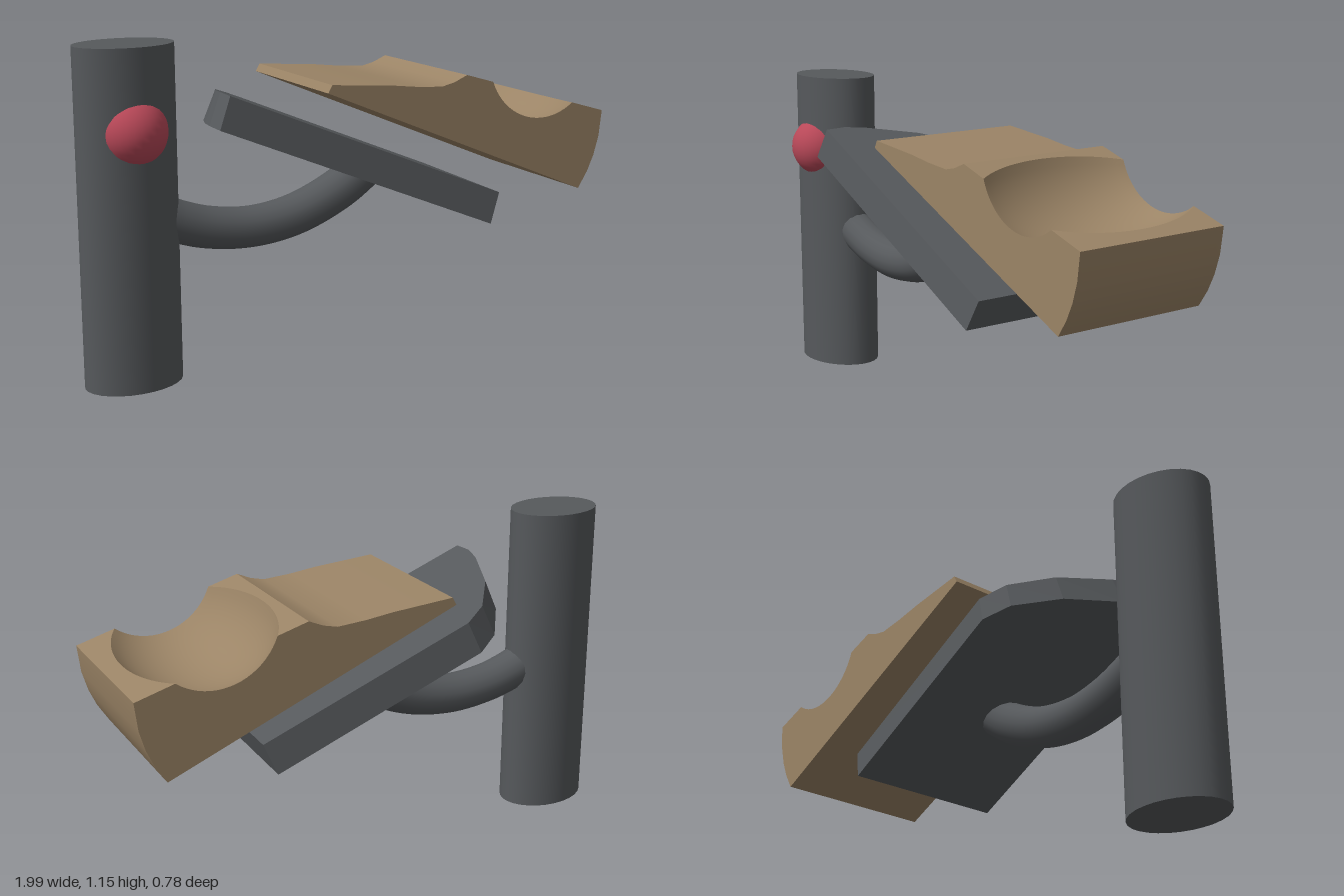
import * as THREE from 'three';
import { toCreasedNormals } from 'three/addons/utils/BufferGeometryUtils.js';

const paint = (color) => new THREE.MeshStandardMaterial({ color });
const dark = paint(0x56595c), tan = paint(0x9b8466), red = paint(0xb84858);

function add(group, name, geometry, material) {
  const mesh = new THREE.Mesh(geometry, material);
  mesh.name = name;
  group.add(mesh);
  return mesh;
}

// Tilted slab with one rounded corner, slightly wider underneath
function plateGeometry() {
  const outline = [[-0.586, 0.238], [0.519, 0.238], [0.512, -0.315], [-0.31, -0.312],
    [-0.40, -0.259], [-0.50, -0.116], [-0.575, 0.08], [-0.592, 0.16]];
  const shape = new THREE.Shape(outline.map(([s, v]) => new THREE.Vector2(s, -v)));
  const depth = 0.116;
  const g = new THREE.ExtrudeGeometry(shape, { depth, bevelEnabled: false });
  g.rotateX(-Math.PI / 2).translate(0, -depth, 0);
  const p = g.attributes.position;
  for (let i = 0; i < p.count; i++) {
    if (p.getY(i) < -0.01) p.setZ(i, -0.04 + (p.getZ(i) + 0.04) * 1.07);
  }
  g.computeVertexNormals();
  return g;
}

// One cross-section of the block; the scoop is an ellipsoid cut into its top
function blockSection(t) {
  const cu = 0.665, cy = 1.045, slope = -0.29, u0 = 0.345, y0 = 0.998;
  const r = 0.293 * Math.sqrt(1 - (t / 0.46) ** 2);
  // where the sloping top meets the circular scoop
  const k = y0 + slope * (cu - u0) - cy;
  const a = 1 + slope * slope, b = slope * k;
  const root = Math.sqrt(b * b - a * (k * k - r * r));
  const dl = (-b - root) / a, dr = (-b + root) / a;
  const al = Math.atan2(k + slope * dl, dl), ar = Math.atan2(k + slope * dr, dr);
  const start = al > 0 ? al - 2 * Math.PI : al;
  const points = [[-0.2, 0.973], [0.842, 0.54], [0.88, 0.6], [0.907, 0.66], [0.927, 0.73], [0.938, 0.826]];
  const n = 20;
  for (let i = 0; i <= n; i++) {
    const angle = ar + (start - ar) * i / n;
    points.push([cu + r * Math.cos(angle), cy + r * Math.sin(angle)]);
  }
  points.push([u0, y0], [0.294, 0.976], [0.243, 0.964], [0.14, 0.971], [0.04, 0.983], [-0.185, 1.0]);
  return points;
}

function blockGeometry() {
  const slices = 24, half = 0.295, middle = -0.069;
  const positions = [], index = [];
  const first = blockSection(-half), n = first.length;
  for (let k = 0; k <= slices; k++) {
    const t = -half + 2 * half * k / slices;
    for (const [u, y] of blockSection(t)) positions.push(u, y, middle + t);
  }
  for (let k = 0; k < slices; k++) {
    for (let i = 0; i < n; i++) {
      const j = (i + 1) % n, a = k * n + i, b = k * n + j;
      index.push(a, b, b + n, a, b + n, a + n);
    }
  }
  // flat sides
  const contour = first.map(([u, y]) => new THREE.Vector2(u, y));
  for (const [a, b, c] of THREE.ShapeUtils.triangulateShape(contour, [])) {
    const o = slices * n;
    index.push(a + o, b + o, c + o, a, c, b);
  }
  const g = new THREE.BufferGeometry();
  g.setAttribute('position', new THREE.Float32BufferAttribute(positions, 3));
  g.setIndex(index);
  return toCreasedNormals(g, 0.4);
}

export function createModel() {
  const model = new THREE.Group();
  model.name = 'model';

  // Oval post
  const post = add(model, 'post', new THREE.CylinderGeometry(1, 1, 1.155, 28), dark);
  post.scale.set(0.175, 1, 0.133);
  post.position.set(-0.825, 0.5775, -0.133);

  // Ball set into the front of the post
  const ball = add(model, 'ball', new THREE.SphereGeometry(0.115, 28, 18), red);
  ball.position.set(-0.837, 0.875, -0.064);

  // Curved arm from the post to the underside of the plate
  const path = [[-0.7, 0.56], [-0.65, 0.538], [-0.55, 0.507], [-0.4, 0.491], [-0.23, 0.516],
    [-0.06, 0.59], [0.04, 0.66]].map(([x, y]) => new THREE.Vector3(x, y, -0.06 + 0.2 * (x + 0.4)));
  add(model, 'arm', new THREE.TubeGeometry(new THREE.CatmullRomCurve3(path), 32, 0.074, 16), dark);
  const end = add(model, 'armEnd', new THREE.SphereGeometry(0.074, 16, 12), dark);
  end.position.copy(path[0]);
  end.scale.x = 0.3;

  // Plate
  const plate = add(model, 'plate', plateGeometry(), dark);
  plate.rotation.set(0, -0.21, -0.39, 'YZX');
  plate.position.y = 0.767;

  // Scooped block floating above the plate
  const block = add(model, 'scoopedBlock', blockGeometry(), tan);
  block.rotation.y = -0.173;

  return model;
}
